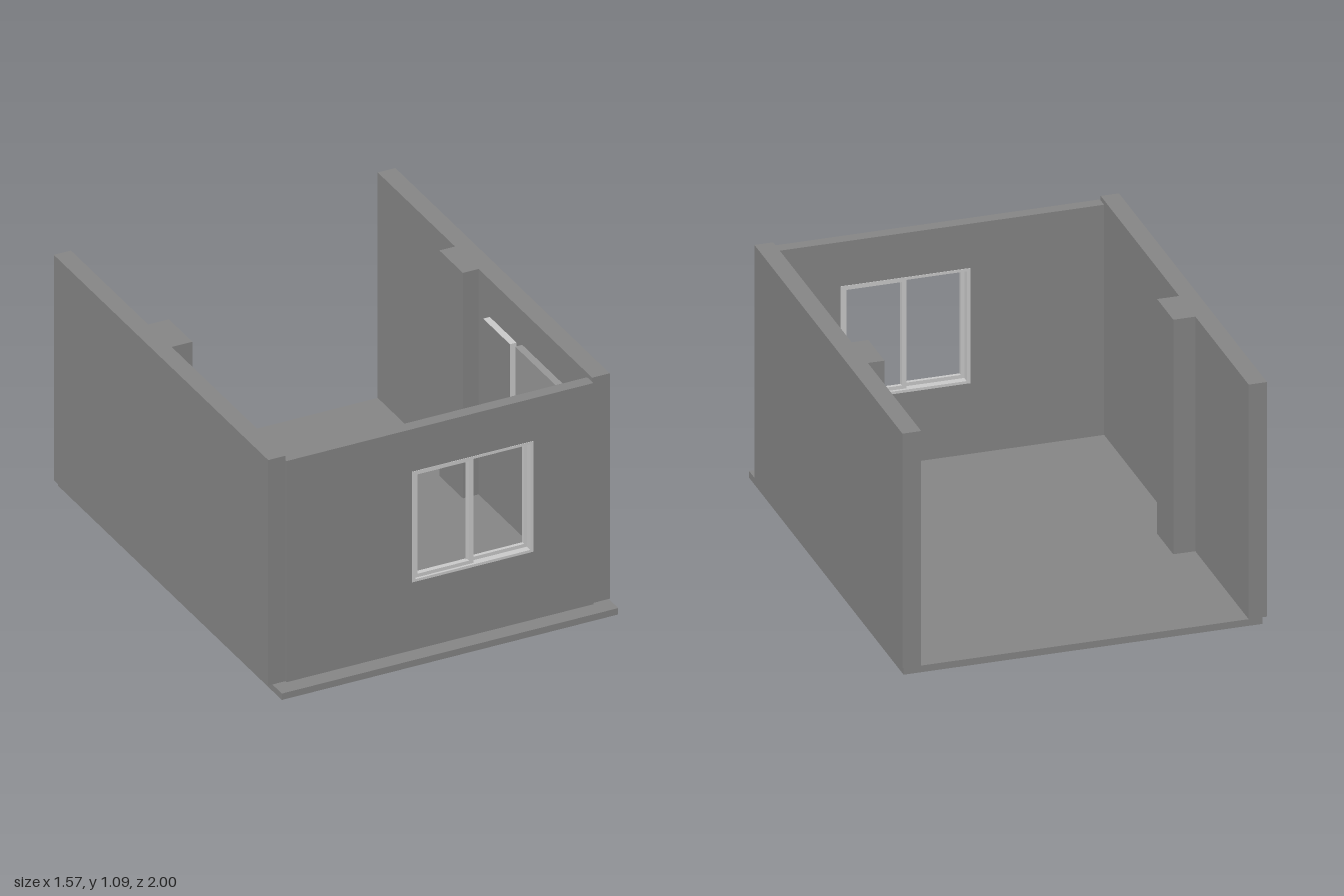
import * as THREE from 'three';

const wallGrey = new THREE.MeshStandardMaterial({ color: 0x868686 });
const light = new THREE.MeshStandardMaterial({ color: 0xcccccc });
const pale = new THREE.MeshStandardMaterial({ color: 0x989898 });

// Box given by its minimum and maximum on each axis
function box(name, [x0, x1], [y0, y1], [z0, z1], material = wallGrey) {
  const mesh = new THREE.Mesh(new THREE.BoxGeometry(x1 - x0, y1 - y0, z1 - z0), material);
  mesh.position.set((x0 + x1) / 2, (y0 + y1) / 2, (z0 + z1) / 2);
  mesh.name = name;
  return mesh;
}

function rectangle(PathType, [x0, x1], [y0, y1]) {
  return new PathType([[x0, y0], [x1, y0], [x1, y1], [x0, y1]].map(p => new THREE.Vector2(...p)));
}

// Upright slab with a rectangular opening
function openSlab(name, xs, ys, holeX, holeY, [z0, z1], material = wallGrey) {
  const shape = rectangle(THREE.Shape, xs, ys);
  shape.holes.push(rectangle(THREE.Path, holeX, holeY));
  const geometry = new THREE.ExtrudeGeometry(shape, { depth: z1 - z0, bevelEnabled: false });
  const mesh = new THREE.Mesh(geometry, material);
  mesh.position.z = z0;
  mesh.name = name;
  return mesh;
}

// Side wall extruded upwards from a plan outline that includes its pilaster
function sideWall(name, outer, inner, pilaster) {
  const plan = [
    [outer, -1], [inner, -1], [inner, -0.31], [pilaster, -0.31],
    [pilaster, -0.1], [inner, -0.1], [inner, 0.915], [outer, 0.915],
  ];
  const shape = new THREE.Shape(plan.map(([x, z]) => new THREE.Vector2(x, -z)));
  const geometry = new THREE.ExtrudeGeometry(shape, { depth: 1.06, bevelEnabled: false });
  geometry.rotateX(-Math.PI / 2);
  const mesh = new THREE.Mesh(geometry, wallGrey);
  mesh.position.y = 0.03;
  mesh.name = name;
  return mesh;
}

// Wall panel: a shallow box with a thin face on its room side
function wallPanel(name, ys, zs, bodyMaterial, faceMaterial) {
  const group = new THREE.Group();
  group.name = name;
  group.add(
    box('panelBody', [0.674, 0.704], ys, zs, bodyMaterial),
    box('panelFace', [0.672, 0.674], ys, zs, faceMaterial),
  );
  return group;
}

export function createModel() {
  const model = new THREE.Group();
  model.name = 'room';

  // Floor and walls
  model.add(
    box('floor', [-0.768, 0.78], [0, 0.03], [-1, 1]),
    sideWall('rightWall', -0.787, -0.708, -0.613),
    sideWall('leftWall', 0.785, 0.704, 0.632),
    openSlab('frontWall', [-0.708, 0.704], [0.03, 1.07], [-0.13, 0.428], [0.35, 0.87], [0.87, 0.925]),
  );

  // Sliding window: outer frame with two sashes on separate tracks
  const slidingWindow = new THREE.Group();
  slidingWindow.name = 'window';
  slidingWindow.add(
    openSlab('windowFrame', [-0.13, 0.428], [0.35, 0.87], [-0.115, 0.413], [0.362, 0.858], [0.868, 0.927], light),
    openSlab('rightSash', [-0.115, 0.157], [0.362, 0.858], [-0.1, 0.137], [0.378, 0.845], [0.9, 0.916], light),
    openSlab('leftSash', [0.14, 0.413], [0.362, 0.858], [0.16, 0.4], [0.378, 0.845], [0.88, 0.896], light),
  );
  model.add(slidingWindow);

  // Two panels hung on the left wall
  model.add(
    wallPanel('smallWallPanel', [0.655, 0.915], [0, 0.24], light, wallGrey),
    wallPanel('largeWallPanel', [0.665, 0.93], [0.29, 0.65], pale, pale),
  );
  return model;
}
